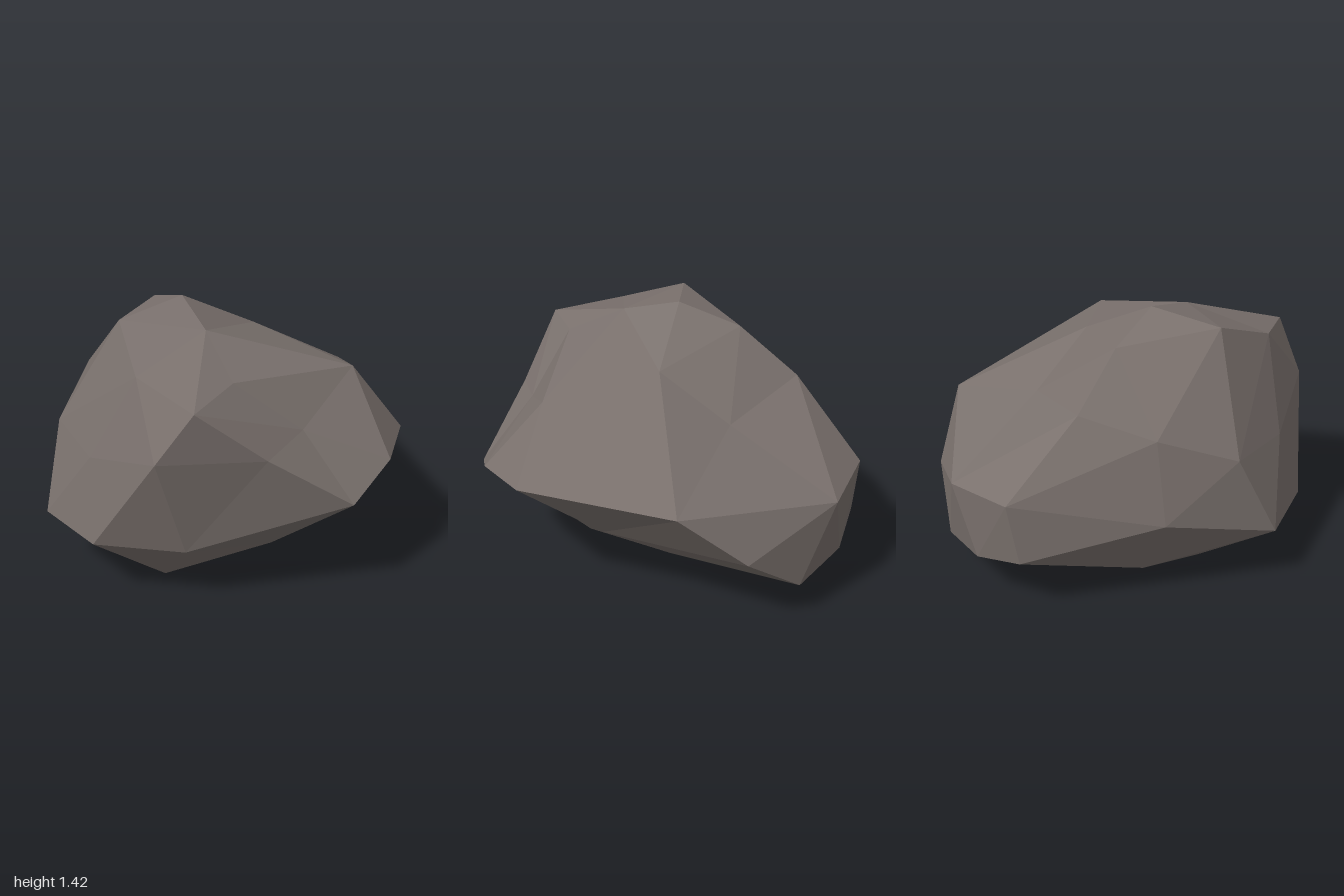
import * as THREE from 'three';
import { ConvexGeometry } from 'three/addons/geometries/ConvexGeometry.js';

// Corners of the boulder, as x, y, z
const crown = [
  -0.53, 1.37, 0.32, -0.20, 1.42, 0.12, -0.33, 1.31, -0.19, 0.19, 1.20, -0.03,
  -0.10, 1.34, 0.42, 0.66, 1.10, 0.37, 0.01, 1.18, 0.72, -0.46, 1.22, 0.70,
  -0.20, 1.15, 1.00, -0.44, 1.06, -0.49, 0.09, 0.96, -0.41, -0.70, 0.94, -0.19,
];
const flanks = [
  -0.86, 0.78, 0.21, -0.70, 0.75, 0.61, -0.39, 0.89, 1.00, 0.16, 0.86, 0.94,
  0.36, 0.91, 0.71, 0.94, 0.725, 0.33, 0.82, 0.70, 0.66, 0.60, 0.565, 0.88,
  0.75, 0.76, -0.54, 0.50, 0.46, -0.80, -0.03, 0.64, -1.00, -0.43, 0.67, -0.91,
  -0.80, 0.50, -0.20,
];
const underside = [
  -0.94, 0.34, 0.41, -0.70, 0.34, 0.77, -0.24, 0.335, 0.88, 0.535, 0.345, 0.10,
  0.25, 0.096, 0.42, 0.17, 0.08, -0.085, -0.33, 0, 0.53, -0.55, 0.055, 0.20,
  -0.28, 0.037, -0.19, -0.61, 0.15, -0.20, 0.18, 0.21, -0.92, -0.18, 0.26, -0.95,
  -0.465, 0.335, -0.86,
];

function toPoints(list) {
  const points = [];
  for (let i = 0; i < list.length; i += 3) points.push(new THREE.Vector3(list[i], list[i + 1], list[i + 2]));
  return points;
}

// Swell a corner almost onto a sphere, so that hollows also get their own facets
function swell(p) {
  const q = new THREE.Vector3(p.x, (p.y - 0.7) / 0.7, p.z);
  return q.setLength(Math.pow(q.length(), 0.25));
}

// Wrap a skin around the swollen corners, then pull each corner back to its place
function rockGeometry(corners) {
  const swollen = corners.map(swell);
  const geometry = new ConvexGeometry(swollen);
  const position = geometry.attributes.position;
  const v = new THREE.Vector3();
  for (let i = 0; i < position.count; i++) {
    v.fromBufferAttribute(position, i);
    let nearest = 0;
    swollen.forEach((q, j) => {
      if (q.distanceToSquared(v) < swollen[nearest].distanceToSquared(v)) nearest = j;
    });
    const c = corners[nearest];
    position.setXYZ(i, c.x, c.y, c.z);
  }
  geometry.computeVertexNormals(); // unshared corners give flat facets
  return geometry;
}

export function createModel() {
  const group = new THREE.Group();
  group.name = 'rock';

  const stone = new THREE.MeshStandardMaterial({ color: 0x7a716d });
  stone.name = 'stone';

  const boulder = new THREE.Mesh(rockGeometry(toPoints([...crown, ...flanks, ...underside])), stone);
  boulder.name = 'boulder';
  group.add(boulder);
  return group;
}
